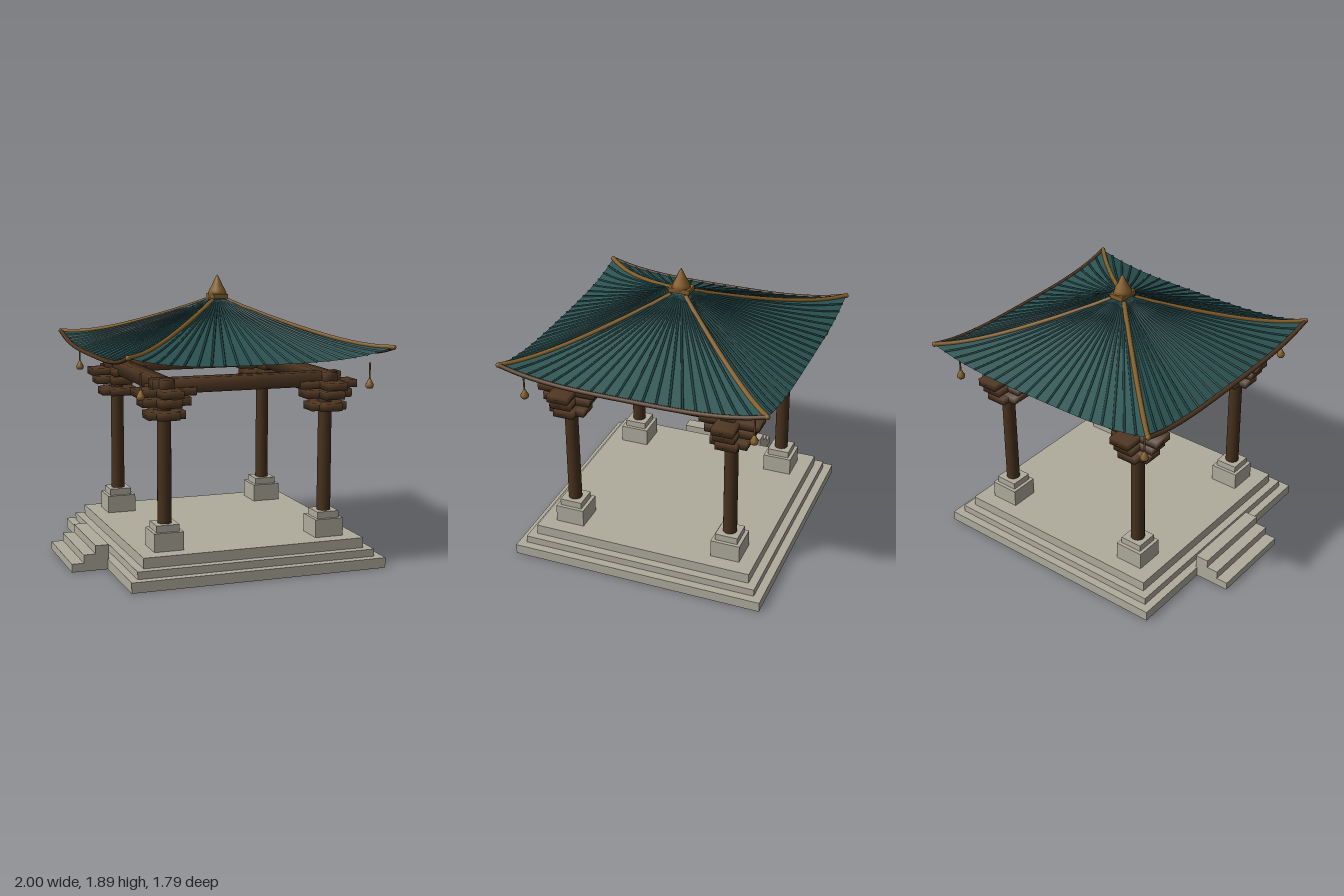
import * as THREE from 'three';
import { mergeVertices } from 'three/addons/utils/BufferGeometryUtils.js';

const mat = (name, color, side = THREE.FrontSide) => {
  const m = new THREE.MeshStandardMaterial({ color, side });
  m.name = name;
  return m;
};

export function createModel() {
  const stone = mat('stone', 0xb0ac9d);
  const wood = mat('wood', 0x4f3722);
  const darkWood = mat('column wood', 0x47311d);
  const teal = mat('roof tile', 0x2b5352, THREE.DoubleSide);
  const darkTeal = mat('roof rib', 0x1f3f40);
  const gold = mat('gold', 0x835e29);

  const model = new THREE.Group();
  model.name = 'pavilion';
  const pavilion = new THREE.Group();
  pavilion.name = 'pavilionBody';
  pavilion.position.x = 0.105;
  model.add(pavilion);

  const add = (parent, name, geometry, material, x = 0, y = 0, z = 0) => {
    const mesh = new THREE.Mesh(geometry, material);
    mesh.name = name;
    mesh.position.set(x, y, z);
    parent.add(mesh);
    return mesh;
  };
  // box given by its bottom and top heights
  const block = (parent, name, w, d, y0, y1, material, x = 0, z = 0) =>
    add(parent, name, new THREE.BoxGeometry(w, y1 - y0, d), material, x, (y0 + y1) / 2, z);
  // timber block: shared corners give it a soft, worn shading
  const timber = (...args) => {
    const mesh = block(...args);
    mesh.geometry.deleteAttribute('normal');
    mesh.geometry.deleteAttribute('uv');
    mesh.geometry = mergeVertices(mesh.geometry);
    mesh.geometry.computeVertexNormals();
  };

  // stepped platform
  [[0.865, 0, 0.068], [0.81, 0.068, 0.117], [0.755, 0.117, 0.185]].forEach(([h, y0, y1]) =>
    block(pavilion, 'platformTier', h * 2, h * 2, y0, y1, stone));

  // entrance steps
  [[-1, -0.92, 0.055], [-0.92, -0.84, 0.11], [-0.84, -0.75, 0.165]].forEach(([x0, x1, top]) =>
    block(model, 'entranceStep', x1 - x0, 0.6, 0, top, stone, (x0 + x1) / 2));

  // columns with plinths, crossed bracket arms and hanging bells
  const columnGeo = new THREE.CylinderGeometry(0.044, 0.046, 0.85, 20);
  const bellGeo = new THREE.LatheGeometry([
    [0, 1.18], [0.018, 1.182], [0.027, 1.193], [0.027, 1.207], [0.017, 1.225], [0.007, 1.245], [0, 1.246],
  ].map(([x, y]) => new THREE.Vector2(x, y)), 12);
  const rodGeo = new THREE.CylinderGeometry(0.006, 0.006, 0.115, 8);
  const brackets = [[0.122, 1.026, 1.077], [0.16, 1.109, 1.163], [0.197, 1.172, 1.222]];

  for (const sx of [-1, 1]) for (const sz of [-1, 1]) {
    const corner = new THREE.Group();
    corner.name = 'cornerColumn';
    corner.position.set(sx * 0.555, 0, sz * 0.555);
    pavilion.add(corner);
    block(corner, 'plinth', 0.198, 0.198, 0.185, 0.305, stone);
    block(corner, 'plinthCap', 0.152, 0.152, 0.305, 0.35, stone);
    add(corner, 'column', columnGeo, darkWood, 0, 0.775, 0);
    for (const [half, y0, y1] of brackets) {
      timber(corner, 'bracketArmX', half * 2, 0.14, y0, y1, wood);
      timber(corner, 'bracketArmZ', 0.14, half * 2, y0, y1, wood);
    }
    add(pavilion, 'bell', bellGeo, gold, sx * 0.77, 0, sz * 0.77);
    add(pavilion, 'bellRod', rodGeo, gold, sx * 0.77, 1.2925, sz * 0.77);
  }

  // ring beams
  for (const s of [-1, 1]) {
    timber(pavilion, 'beamX', 1.29, 0.09, 1.185, 1.28, wood, 0, s * 0.555);
    timber(pavilion, 'beamZ', 0.09, 1.29, 1.185, 1.28, wood, s * 0.555, 0);
  }

  // roof slope: s runs from apex to eave, u from corner to corner
  const HALF = 0.88;
  const slope = (s, u) => new THREE.Vector3(
    u * s * HALF,
    1.75 - 0.372 * Math.pow(s, 0.87) + 0.077 * Math.pow(s, 5) * Math.pow(Math.abs(u), 3.4),
    s * HALF);
  const tube = (f, radius, n, sides) => {
    const pts = [];
    for (let i = 0; i <= n; i++) pts.push(f(i / n));
    return new THREE.TubeGeometry(new THREE.CatmullRomCurve3(pts), n * 2, radius, sides);
  };

  const slopeGeo = new THREE.PlaneGeometry(1, 1, 32, 16);
  const pos = slopeGeo.attributes.position;
  for (let i = 0; i < pos.count; i++) {
    const p = slope(0.02 + 0.98 * (0.5 - pos.getY(i)), pos.getX(i) * 2);
    pos.setXYZ(i, p.x, p.y, p.z);
  }
  slopeGeo.computeVertexNormals();

  const ribGeos = [];
  for (let i = -9; i <= 9; i++)
    ribGeos.push(tube(t => slope(0.06 + 0.94 * t, i / 10), 0.008, 8, 6));
  const hipGeo = tube(t => slope(0.06 + 0.94 * t, 1), 0.016, 12, 8);
  const eaveGeo = tube(t => slope(1, t * 2 - 1), 0.015, 16, 8);
  const tipGeo = new THREE.SphereGeometry(0.017, 12, 8);

  for (let k = 0; k < 4; k++) {
    const side = new THREE.Group();
    side.name = 'roofSide';
    side.rotation.y = k * Math.PI / 2;
    pavilion.add(side);
    add(side, 'roofSlope', slopeGeo, teal);
    ribGeos.forEach(g => add(side, 'roofRib', g, darkTeal));
    add(side, 'hipRidge', hipGeo, gold);
    const tip = slope(1, 1);
    add(side, 'hipTip', tipGeo, gold, tip.x, tip.y, tip.z);
    if (k % 2) add(side, 'eaveTrim', eaveGeo, wood); // trim on the two x sides only
  }

  // finial
  block(pavilion, 'finialBase', 0.1, 0.145, 1.73, 1.76, gold);
  add(pavilion, 'finialSpire', new THREE.LatheGeometry([
    [0.05, 1.735], [0.064, 1.76], [0.054, 1.785], [0.034, 1.822], [0.014, 1.866], [0, 1.89],
  ].map(([x, y]) => new THREE.Vector2(x, y)), 10), gold);

  return model;
}
